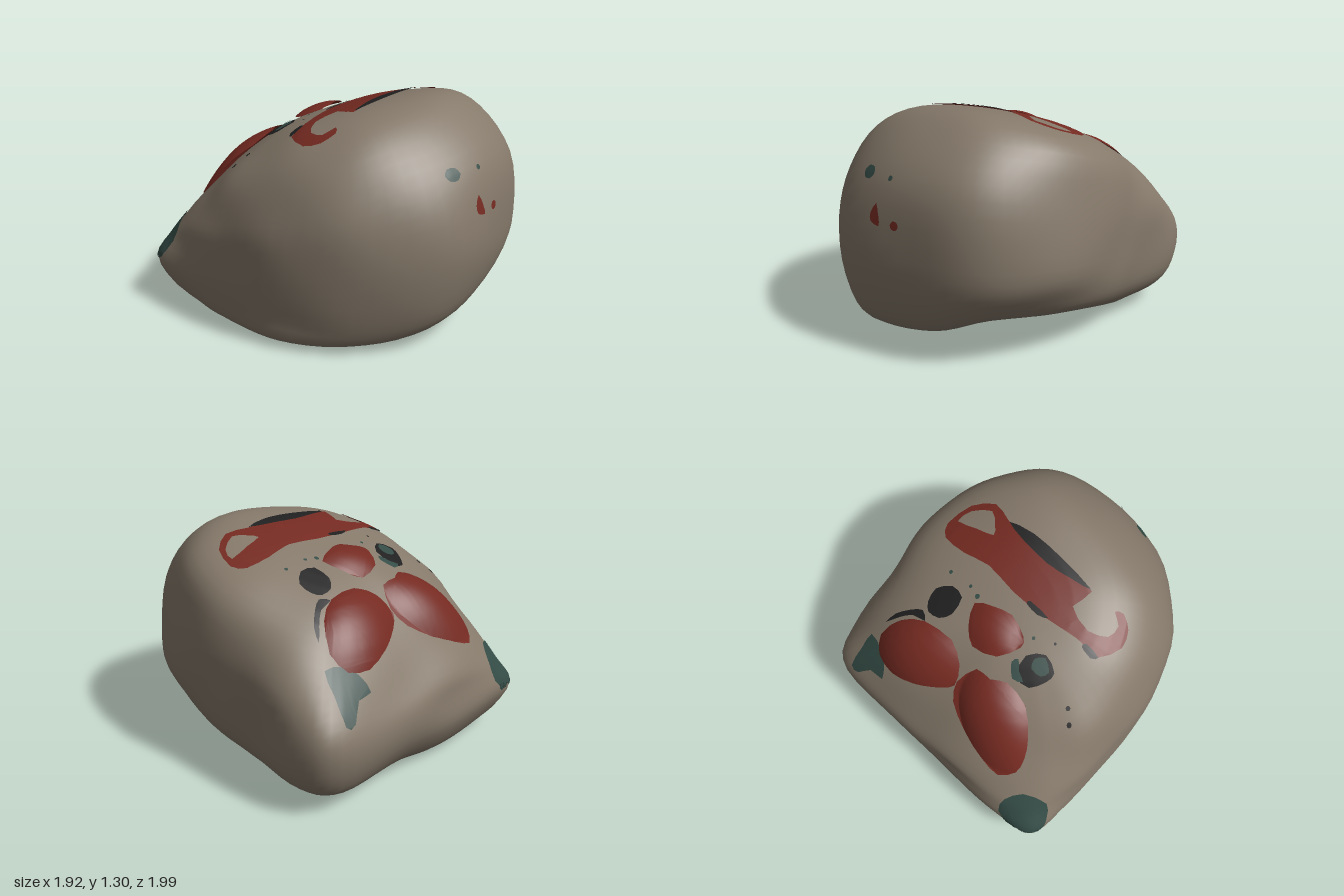
import * as THREE from 'three';
import { mergeVertices } from 'three/addons/utils/BufferGeometryUtils.js';

const mat = (name, color) => {
  const m = new THREE.MeshStandardMaterial({ color, side: THREE.DoubleSide });
  m.name = name;
  return m;
};

// Directions of the ring points in degrees, from +x round through the front (+z)
const ANGLES = [16, 38, 60, 90, 120, 150, 180, 198, 210, 222, 245, 270, 297, 310, 330, 352];

// Stone rings, top to bottom: radii r, and either a tilted plane p
// [height, slope x, slope z] or separate heights y
const RINGS = [
  { p: [1.15, .13, .30], r: [.5, .5, .46, .41, .4, .4, .37, .36, .35, .34, .33, .33, .42, .44, .45, .48] },
  { p: [1.00, .15, .28], r: [.8, .78, .72, .68, .69, .67, .68, .67, .65, .62, .58, .59, .74, .78, .77, .79] },
  { p: [0.75, .12, .20], r: [.93, .99, .96, .91, .86, .8, .81, .86, .89, .86, .79, .78, .98, 1, .89, .89] },
  { p: [0.50, .03, .08], r: [.99, 1.05, 1.01, 1, .9, .83, .84, .93, 1, .95, .83, .86, 1.1, 1.07, .9, .91] },
  { y: [.36, .36, .28, .2, .18, .2, .22, .23, .25, .25, .24, .24, .22, .22, .26, .32],
    r: [.92, .97, .94, .92, .85, .81, .84, .96, 1.08, .97, .84, .83, 1.06, 1.05, .88, .88] },
  { y: [.25, .24, .13, .06, .03, .03, .02, .02, .015, .02, .03, .06, .09, .1, .14, .21],
    r: [.82, .82, .78, .75, .73, .74, .74, .78, .82, .76, .68, .68, .92, .92, .8, .8] },
];

// Five-sided opening in the underside, with the number of ring steps on each side
const OPENING = [[.62, .2, .18], [-.04, .06, .5], [-.33, .04, -.02], [.28, .09, -.55], [.68, .13, -.38]];
const STEPS = [3, 3, 6, 3, 2];

function ringCurve({ p, y, r }) {
  const pts = ANGLES.map((deg, i) => {
    const a = deg * Math.PI / 180, x = r[i] * Math.cos(a), z = r[i] * Math.sin(a);
    return new THREE.Vector3(x, y ? y[i] : p[0] + p[1] * x + p[2] * z, z);
  });
  return new THREE.CatmullRomCurve3(pts, true, 'catmullrom', 0.5);
}

function openingCurve() {
  const corners = OPENING.map((c) => new THREE.Vector3(...c)), pts = [];
  corners.forEach((c, k) => {
    for (let s = 0; s < STEPS[k]; s++) pts.push(c.clone().lerp(corners[(k + 1) % 5], s / STEPS[k]));
  });
  return new THREE.CatmullRomCurve3(pts, true, 'catmullrom', 0); // zero tension keeps the sides straight
}

function stoneGeometry(around = 80, down = 32) {
  const rings = [...RINGS.map(ringCurve), openingCurve()];
  const top = new THREE.Vector3(0, 1.19, 0);
  const pos = [top.x, top.y, top.z], index = [];
  for (let i = 0; i < around; i++) {
    const ribs = rings.map((c) => c.getPoint(i / around));
    // Meridian starts across the top so the crown stays smooth
    const { x, z } = ribs[0], [h, sx, sz] = RINGS[0].p;
    const pts = [new THREE.Vector3(-x, h - sx * x - sz * z, -z), top, ...ribs];
    const curve = new THREE.CatmullRomCurve3(pts, false, 'catmullrom', 0.5);
    const first = 1 / (pts.length - 1);
    for (let j = 1; j <= down; j++) {
      const v = curve.getPoint(first + (1 - first) * j / down);
      // Gentle unevenness
      const n = 0.006 * Math.sin(9 * v.x + 5 * v.y) * Math.sin(8 * v.z + 6 * v.y) * Math.sin(Math.PI * j / down);
      pos.push(v.x * (1 + n), v.y + n, v.z * (1 + n));
    }
  }
  const id = (i, j) => (j === 0 ? 0 : 1 + (i % around) * down + j - 1);
  for (let i = 0; i < around; i++) {
    for (let j = 0; j < down; j++) {
      const a = id(i, j), b = id(i + 1, j), c = id(i + 1, j + 1), d = id(i, j + 1);
      if (j > 0) index.push(a, b, c);
      index.push(a, c, d);
    }
  }
  const g = new THREE.BufferGeometry();
  g.setAttribute('position', new THREE.Float32BufferAttribute(pos, 3));
  g.setIndex(index);
  g.computeBoundingBox();
  g.translate(0, -g.boundingBox.min.y, 0);
  g.computeVertexNormals();
  return g;
}

// Smooth closed outline through a few points
function outline(pts) {
  const c = new THREE.CatmullRomCurve3(pts.map(([x, y]) => new THREE.Vector3(x, y, 0)), true, 'catmullrom', 0.4);
  return c.getPoints(pts.length * 2).slice(0, -1).map((v) => new THREE.Vector2(v.x, v.y));
}

const spot = (x, y, rx, ry = rx) => [0, 1, 2, 3, 4, 5].map((k) =>
  [x + rx * Math.cos(k * Math.PI / 3), y + ry * Math.sin(k * Math.PI / 3)]);

// Split every triangle into four
function subdivide(tris, levels) {
  for (; levels > 0; levels--) {
    const next = [];
    for (const [a, b, c] of tris) {
      const ab = a.clone().lerp(b, 0.5), bc = b.clone().lerp(c, 0.5), ca = c.clone().lerp(a, 0.5);
      next.push([a, ab, ca], [ab, b, bc], [ca, bc, c], [ab, bc, ca]);
    }
    tris = next;
  }
  return tris;
}

export function createModel() {
  const group = new THREE.Group();
  const grey = mat('stone grey', 0x85796a), red = mat('brick red', 0x742a21);
  const teal = mat('dark teal', 0x344b45), black = mat('charcoal', 0x202021);

  const stone = new THREE.Mesh(stoneGeometry(), grey);
  stone.name = 'stone';
  group.add(stone);

  // Lay a flat patch onto the stone, from above (x, z) or from the front (x, y)
  const ray = new THREE.Raycaster();
  const down = new THREE.Vector3(0, -1, 0), back = new THREE.Vector3(0, 0, -1);
  function paint(name, material, pts, { front = false, hole, levels = 2, lift = 0.006, dome } = {}) {
    const flip = (list) => outline(front ? list : list.map(([x, z]) => [x, -z]));
    const shape = new THREE.Shape(flip(pts));
    if (hole) shape.holes.push(new THREE.Path(flip(hole)));
    const flat = new THREE.ShapeGeometry(shape).toNonIndexed().attributes.position;
    const tris = [];
    for (let i = 0; i < flat.count; i += 3) {
      tris.push([0, 1, 2].map((k) => new THREE.Vector3().fromBufferAttribute(flat, i + k)));
    }
    let g = new THREE.BufferGeometry().setFromPoints(subdivide(tris, levels).flat());
    g = mergeVertices(g, 1e-5);
    const p = g.attributes.position;
    for (let i = 0; i < p.count; i++) {
      let x = p.getX(i), y = p.getY(i), hit;
      for (let tries = 0; tries < 20 && !hit; tries++) {
        if (tries) { x *= 0.994; y *= 0.994; }
        ray.set(front ? new THREE.Vector3(x, y, 3) : new THREE.Vector3(x, 3, -y), front ? back : down);
        hit = ray.intersectObject(stone)[0];
      }
      const v = hit.point;
      let up = lift;
      if (dome) {
        const [cx, cz, rx, rz, turn, height] = dome;
        const dx = x - cx, dz = -y - cz, c = Math.cos(turn), s = Math.sin(turn);
        const q = ((dx * c + dz * s) / rx) ** 2 + ((dz * c - dx * s) / rz) ** 2;
        up += height * Math.max(0, 1 - q);
      }
      v.addScaledVector(hit.face.normal, up);
      p.setXYZ(i, v.x, v.y, v.z);
    }
    g.computeVertexNormals();
    const mesh = new THREE.Mesh(g, material);
    mesh.name = name;
    group.add(mesh);
  }

  // Two raised red lobes and the small one between the eyes
  paint('rightLobe', red, [[-.65, -.46], [-.6, -.55], [-.48, -.58], [-.3, -.585], [-.15, -.56], [-.085, -.49],
    [-.11, -.37], [-.2, -.33], [-.27, -.27], [-.42, -.25], [-.55, -.31], [-.62, -.38]],
  { levels: 4, dome: [-.38, -.42, .28, .17, 0, .06] });
  paint('leftLobe', red, [[-.09, -.51], [-.04, -.58], [.08, -.68], [.22, -.76], [.35, -.77], [.42, -.7],
    [.38, -.57], [.28, -.47], [.1, -.4], [-.03, -.43]],
  { levels: 4, dome: [.18, -.585, .28, .16, -.5, .06] });
  paint('middleLobe', red, [[-.17, -.12], [-.13, -.25], [0, -.33], [.1, -.29], [.18, -.2], [.1, -.13], [0, -.07], [-.13, -.08]],
    { levels: 3, dome: [0, -.19, .17, .13, 0, .035] });

  // Long red band with a loop at each end
  paint('band', red, [[-.44, .2], [-.3, .15], [-.1, .06], [.1, 0], [.3, -.03], [.45, -.1], [.6, -.135], [.67, -.08],
    [.67, .08], [.58, .19], [.45, .19], [.3, .21], [.1, .27], [-.14, .35], [-.15, .22], [-.3, .22], [-.38, .3],
    [-.36, .38], [-.29, .4], [-.32, .44], [-.4, .42], [-.46, .34]],
  { levels: 4, hole: [[.43, .08], [.52, .03], [.64, -.03], [.64, .06], [.56, .15], [.48, .12]] });
  paint('bandShadow', black, [[-.13, .35], [.1, .31], [.3, .26], [.44, .19], [.3, .195], [.12, .23], [-.02, .29]],
    { levels: 3, lift: 0.009 });
  paint('bandTopFleck', black, [[-.13, .08], [-.08, .04], [0, .025], [0, .05]], { lift: 0.009 });
  paint('bandEndFleck', black, [[-.44, .2], [-.42, .16], [-.35, .15], [-.35, .18]], { lift: 0.009 });

  // Eyes
  paint('leftEye', black, [[.21, -.33], [.24, -.4], [.31, -.43], [.36, -.4], [.39, -.33], [.34, -.25], [.25, -.24]], { levels: 3 });
  paint('rightEye', black, [[-.39, -.1], [-.36, -.19], [-.27, -.22], [-.22, -.12], [-.28, -.03], [-.38, -.04]], { levels: 3 });
  paint('rightEyeCentre', teal, [[-.36, -.06], [-.35, -.11], [-.29, -.13], [-.26, -.09], [-.29, -.04]], { lift: 0.009 });
  paint('rightEyeLid', teal, [[-.32, -.2], [-.27, -.24], [-.2, -.2], [-.21, -.16], [-.26, -.19]], { lift: 0.009 });
  paint('browStroke', black, [[.28, -.47], [.36, -.51], [.41, -.58], [.45, -.65], [.44, -.58], [.39, -.5], [.34, -.45]], { levels: 3 });

  // Teal corner patches
  paint('rightCorner', teal, [[-.95, -.46], [-.95, -.54], [-.9, -.61], [-.74, -.64], [-.72, -.58], [-.76, -.48], [-.87, -.39], [-.92, -.42]], { levels: 3 });
  paint('leftCorner', teal, [[.25, -.83], [.34, -.86], [.4, -.93], [.46, -.94], [.47, -.84], [.475, -.75], [.36, -.75], [.29, -.78]], { levels: 3 });

  // Small flecks on top
  for (const [x, z, s] of [[-.63, -.1, .014], [-.56, -.065, .013], [-.26, .04, .008]]) paint('darkFleck', black, spot(x, z, s));
  for (const [x, z, s] of [[.2, -.17, .014], [.41, -.215, .011], [.27, -.17, .01], [-.17, -.04, .01]]) paint('tealFleck', teal, spot(x, z, s));

  // Flecks on the front
  const front = { front: true };
  paint('frontTealSpot', teal, spot(.105, .985, .05, .033), front);
  paint('frontTealDot', teal, spot(.295, .99, .014), front);
  paint('frontRedSpot', red, [[.22, .81], [.25, .86], [.28, .8], [.29, .75], [.23, .765]], front);
  paint('frontRedDot', red, spot(.385, .77, .025), front);

  return group;
}
